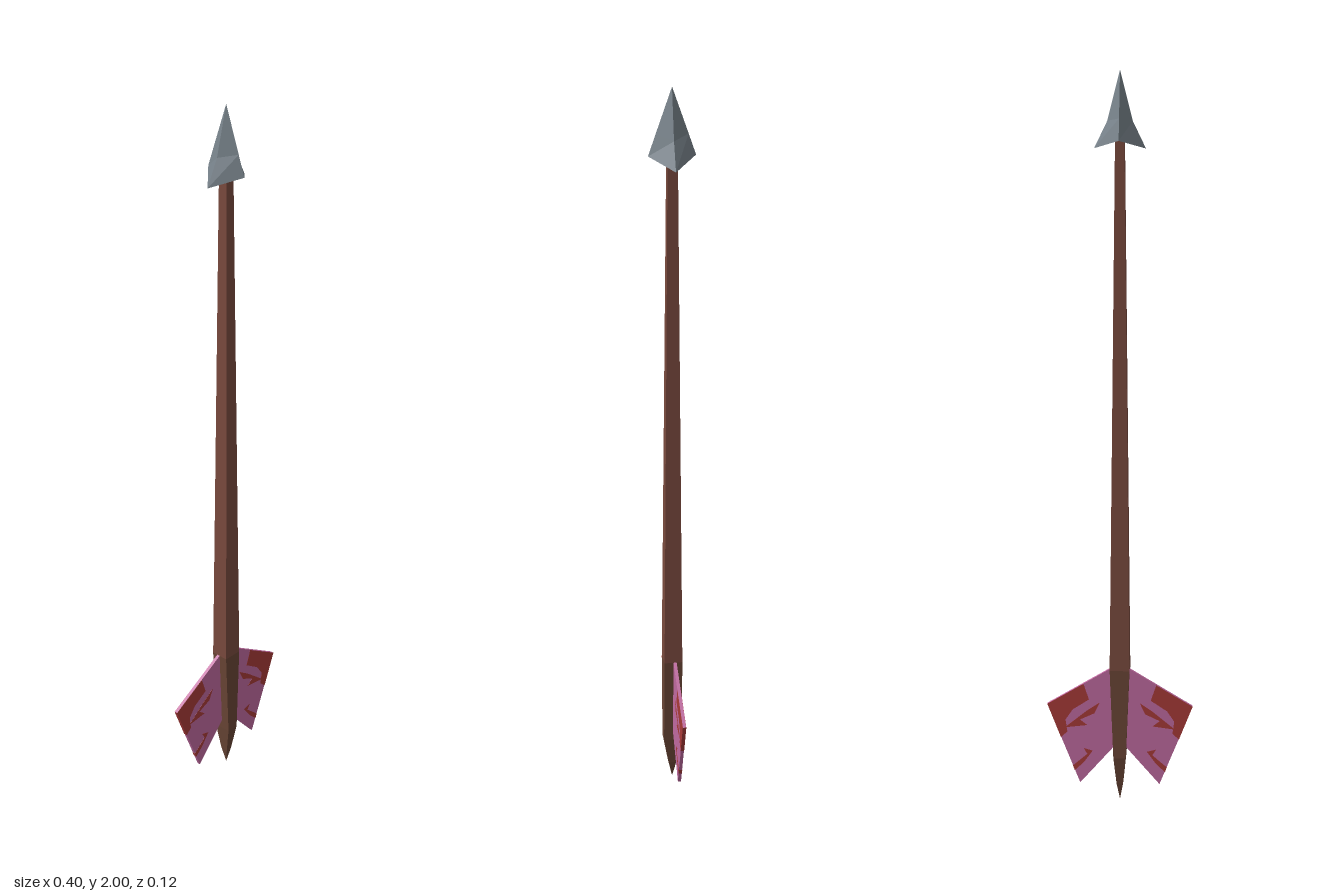
import * as THREE from 'three';

const mat = (name, color) => {
  const m = new THREE.MeshStandardMaterial({ color });
  m.name = name;
  return m;
};

const SQUARE = [[-1, 1], [1, 1], [1, -1], [-1, -1]];
const DIAMOND = [[0, 1], [1, 0], [0, -1], [-1, 0]];

// Flat-faced loft through four-cornered rings [y, halfX, halfZ, drop of the x corners], bottom to top
function loft(corners, rings) {
  const points = rings.map(([y, hx, hz, drop = 0]) =>
    corners.map(([x, z]) => [x * hx, y - drop * Math.abs(x), z * hz]));
  const pos = [];
  for (let i = 0; i < rings.length - 1; i++) {
    for (let j = 0; j < 4; j++) {
      const k = (j + 1) % 4;
      const a = points[i][j], b = points[i][k], c = points[i + 1][k], d = points[i + 1][j];
      if (rings[i][1] > 0) pos.push(...a, ...b, ...c);
      else pos.push(...a, ...c, ...d);
      if (rings[i][1] > 0 && rings[i + 1][1] > 0) pos.push(...a, ...c, ...d);
    }
  }
  const g = new THREE.BufferGeometry();
  g.setAttribute('position', new THREE.Float32BufferAttribute(pos, 3));
  g.computeVertexNormals();
  return g;
}

// Upright plate cut from an outline; side = -1 mirrors it
function plate(outline, side, z, depth) {
  const shape = new THREE.Shape(outline.map(([x, y]) => new THREE.Vector2(x * side, y)));
  return new THREE.ExtrudeGeometry(shape, { depth, bevelEnabled: false }).translate(0, 0, z);
}

export function createModel() {
  const group = new THREE.Group();
  const wood = mat('reddish wood', 0x7a4a3e);
  const darkWood = mat('dark wood', 0x6a4636);
  const steel = mat('grey steel', 0x78838b);
  const pink = mat('pink feather', 0xc06aa0);
  const red = mat('red feather', 0xa83a38);

  const add = (name, geometry, material, parent = group) => {
    const mesh = new THREE.Mesh(geometry, material);
    mesh.name = name;
    parent.add(mesh);
  };

  // Tapering square shaft and its pointed tail
  add('shaft', loft(SQUARE, [[0.385, 0.027, 0.025], [1.84, 0.012, 0.013]]), wood);
  add('tail', loft(SQUARE, [
    [0, 0, 0], [0.05, 0.009, 0.011], [0.13, 0.017, 0.025], [0.385, 0.027, 0.025],
  ]), darkWood);

  // Four-sided head with a hollowed underside
  add('arrowhead', loft(DIAMOND, [
    [1.83, 0, 0], [1.825, 0.067, 0.061, 0.025], [1.88, 0.033, 0.042, 0.01], [2, 0, 0],
  ]), steel);

  // Two fins with red markings that show on both faces
  const fin = [[0.01, 0.392], [0.027, 0.385], [0.2, 0.28], [0.11, 0.05], [0.015, 0.16], [0.005, 0.17]];
  const markings = [
    [[0.1, 0.34], [0.2, 0.28], [0.163, 0.183], [0.145, 0.2], [0.15, 0.235], [0.13, 0.265], [0.085, 0.295]],
    [[0.055, 0.287], [0.09, 0.263], [0.152, 0.212], [0.09, 0.22], [0.11, 0.236], [0.07, 0.255]],
    [[0.075, 0.145], [0.1, 0.152], [0.09, 0.135], [0.13, 0.1], [0.125, 0.086], [0.1, 0.11]],
  ];
  for (const side of [1, -1]) {
    const finGroup = new THREE.Group();
    finGroup.name = side > 0 ? 'leftFin' : 'rightFin';
    add('feather', plate(fin, side, -0.009, 0.009), pink, finGroup);
    for (const m of markings) add('marking', plate(m, side, -0.0094, 0.0098), red, finGroup);
    group.add(finGroup);
  }
  return group;
}
